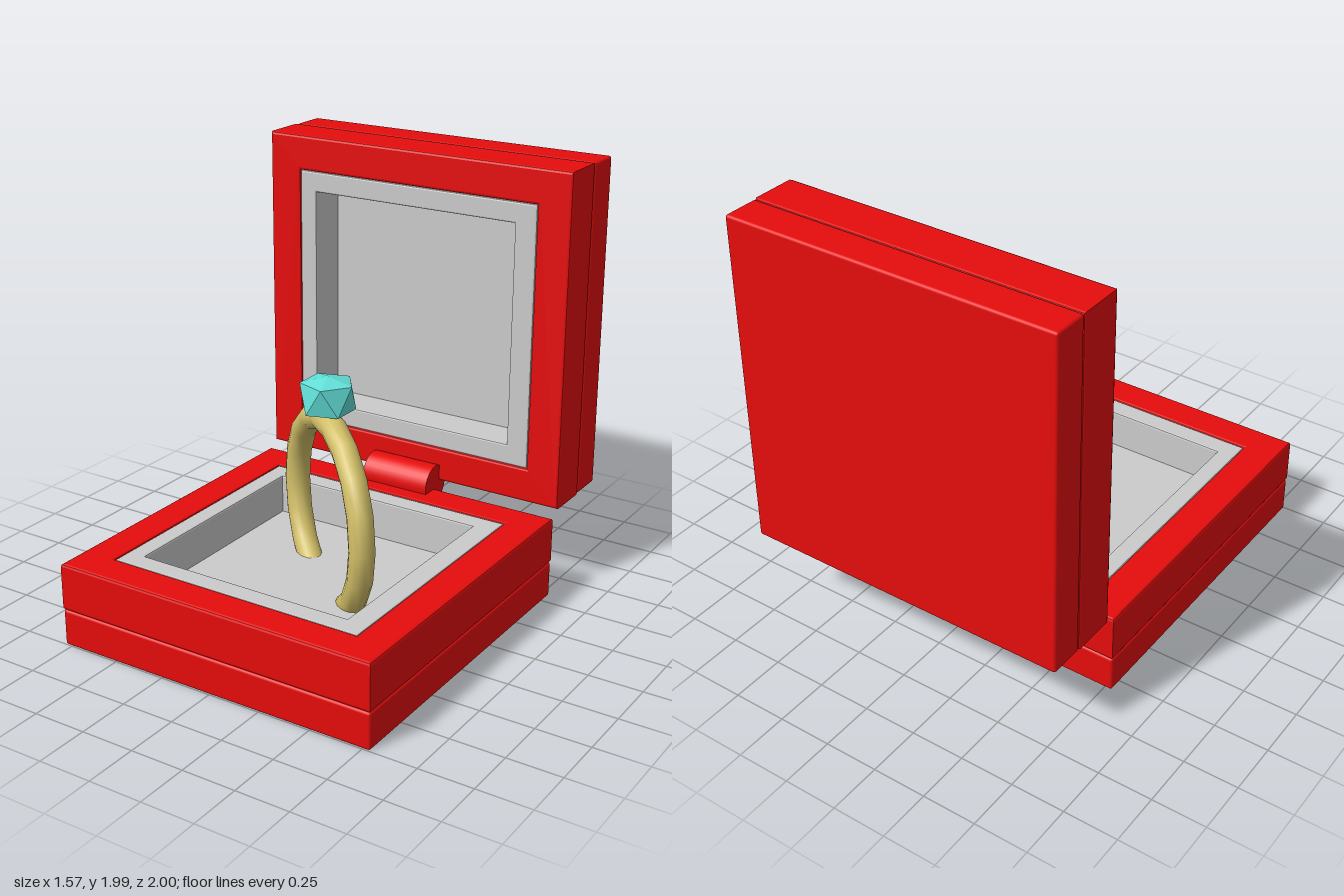
import * as THREE from 'three';
import { RoundedBoxGeometry } from 'three/addons/geometries/RoundedBoxGeometry.js';
import { ConvexGeometry } from 'three/addons/geometries/ConvexGeometry.js';

const red = new THREE.MeshStandardMaterial({ color: 0xe60c0c });
const grey = new THREE.MeshStandardMaterial({ color: 0xcccccc });
const gold = new THREE.MeshStandardMaterial({ color: 0xd2bf68 });
const teal = new THREE.MeshStandardMaterial({ color: 0x62e0d8, flatShading: true });

const SIZE = 1.57, OPENING = 1.24, WELL = 1.046;

function part(name, geometry, material, parent) {
  const mesh = new THREE.Mesh(geometry, material);
  mesh.name = name;
  parent.add(mesh);
  return mesh;
}

function square(Type, size, x = 0) {
  const h = size / 2;
  return new Type([[-h, -h], [h, -h], [h, h], [-h, h]].map(([a, b]) => new THREE.Vector2(a + x, b)));
}

// Square frame with bevelled edges, lying flat from y0 to y1
function frame(outer, inner, innerX, y0, y1, bevel) {
  const shape = square(THREE.Shape, outer);
  shape.holes.push(square(THREE.Path, inner, innerX));
  const g = new THREE.ExtrudeGeometry(shape, {
    depth: y1 - y0 - 2 * bevel, bevelEnabled: true, bevelThickness: bevel,
    bevelSize: bevel, bevelOffset: -bevel, bevelSegments: 2,
  });
  return g.translate(0, 0, bevel).rotateX(-Math.PI / 2).translate(0, y0, 0);
}

// One half of the box, opening upwards
function boxHalf(name) {
  const half = new THREE.Group();
  half.name = name;
  part('outerPanel', new RoundedBoxGeometry(SIZE, 0.17, SIZE, 2, 0.012), red, half).position.y = 0.085;
  part('rim', frame(SIZE, OPENING, 0, 0.17, 0.39, 0.012), red, half);
  part('liner', frame(OPENING, WELL, -0.01, 0.17, 0.387, 0.008), grey, half);
  part('linerFloor', new THREE.BoxGeometry(OPENING - 0.02, 0.04, OPENING - 0.02), grey, half).position.y = 0.18;
  return half;
}

export function createModel() {
  const model = new THREE.Group();
  model.name = 'ringBox';

  const base = boxHalf('base');
  base.position.set(0, 0, 0.215);

  // Lid stands upright behind the base, opening to the front
  const lid = boxHalf('lid');
  lid.rotation.x = Math.PI / 2;
  lid.position.set(0, 1.2025, -1);
  model.add(base, lid);

  // Hinge barrel
  const barrel = new THREE.CylinderGeometry(0.092, 0.092, 0.345, 32).rotateZ(Math.PI / 2);
  part('hinge', barrel, red, model).position.set(-0.008, 0.413, -0.573);

  // Ring, turned diagonally and sunk into the floor of the base
  const ring = new THREE.Group();
  ring.name = 'ring';
  ring.position.set(0.037, 0.517, 0.155);
  model.add(ring);
  part('band', new THREE.TorusGeometry(0.43, 0.058, 12, 18), gold, ring).rotation.y = -0.654;

  // Gem: two staggered five-sided rows with shallow points above and below
  const points = [new THREE.Vector3(0, 0.638, 0), new THREE.Vector3(0, 0.455, 0)];
  for (let i = 0; i < 5; i++) {
    const a = (i * Math.PI * 2) / 5, x = 0.122 * Math.cos(a), z = 0.122 * Math.sin(a);
    points.push(new THREE.Vector3(x, 0.61, z), new THREE.Vector3(-x, 0.484, -z));
  }
  part('gem', new ConvexGeometry(points), teal, ring);

  return model;
}
